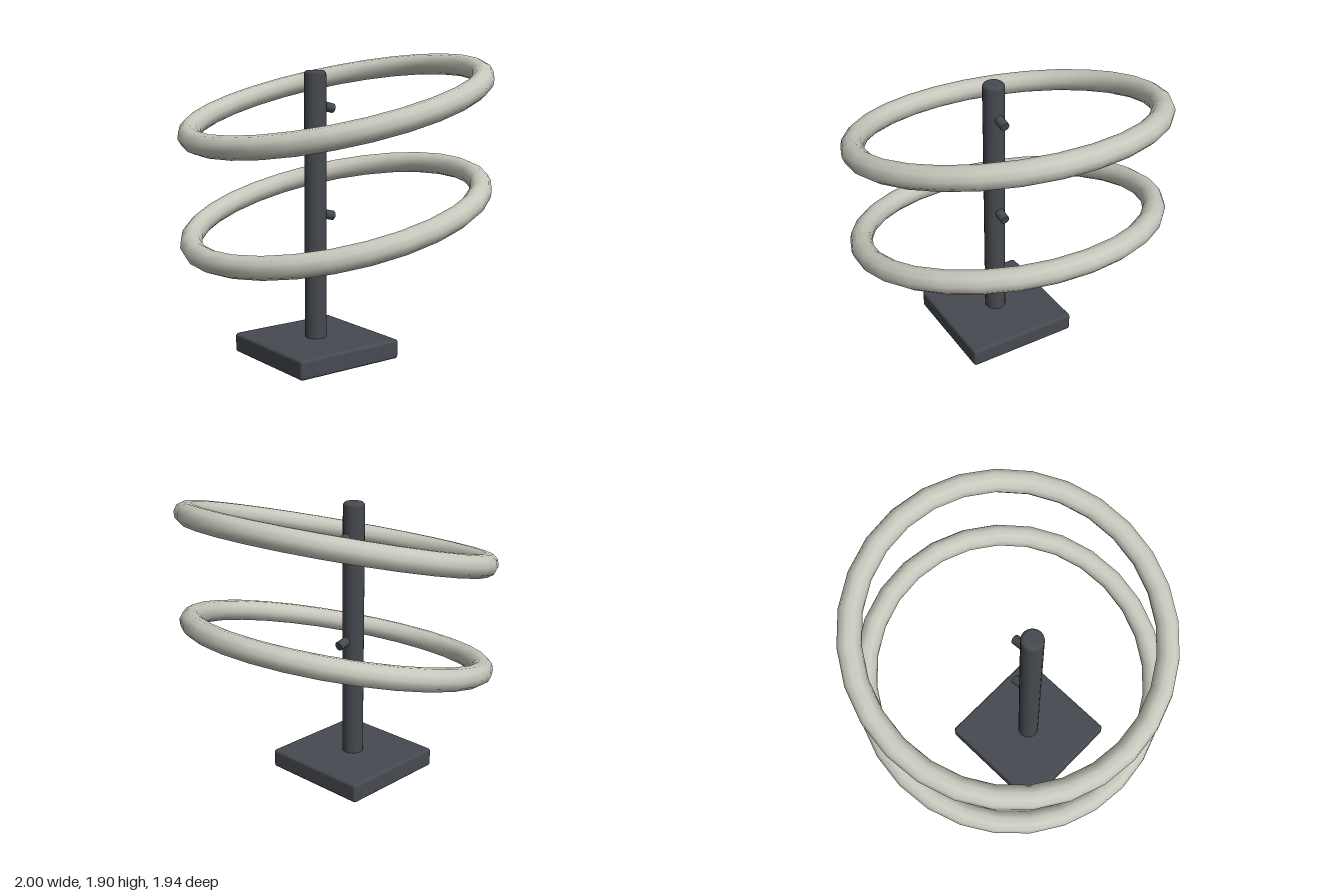
import * as THREE from 'three';
import { RoundedBoxGeometry } from 'three/addons/geometries/RoundedBoxGeometry.js';

const POLE_Z = 0.15;
const TILT = THREE.MathUtils.degToRad(14);

export function createModel() {
  const group = new THREE.Group();
  const dark = new THREE.MeshStandardMaterial({ color: 0x464a50 });
  const pale = new THREE.MeshStandardMaterial({ color: 0xc9c8bd });

  const add = (name, geometry, material, x, y, z) => {
    const mesh = new THREE.Mesh(geometry, material);
    mesh.name = name;
    mesh.position.set(x, y, z);
    group.add(mesh);
    return mesh;
  };

  // Square foot with softened edges
  add('base', new RoundedBoxGeometry(0.75, 0.125, 0.75, 3, 0.02), dark, 0, 0.0625, POLE_Z);

  // Upright pole with a rounded top rim
  const rim = 0.025, radius = 0.069, top = 1.81;
  const profile = [new THREE.Vector2(0, 0.06), new THREE.Vector2(radius, 0.06)];
  for (let i = 0; i <= 4; i++) {
    const a = (i / 4) * Math.PI / 2;
    profile.push(new THREE.Vector2(radius - rim + rim * Math.cos(a), top - rim + rim * Math.sin(a)));
  }
  profile.push(new THREE.Vector2(0, top));
  add('pole', new THREE.LatheGeometry(profile, 24), dark, 0, 0, POLE_Z);

  // Two tilted hoops, each with a short peg behind the pole
  [['lower', 0.932], ['upper', 1.61]].forEach(([level, y]) => {
    const ring = add(level + 'Ring', new THREE.TorusGeometry(0.93, 0.07, 10, 28), pale, 0, y, 0);
    ring.rotation.x = Math.PI / 2 + TILT;

    const peg = add(level + 'Peg', new THREE.CylinderGeometry(0.03, 0.03, 0.14, 12), dark, 0, y - 0.022, 0.083);
    peg.rotation.x = Math.PI / 2 - TILT;
  });

  return group;
}
